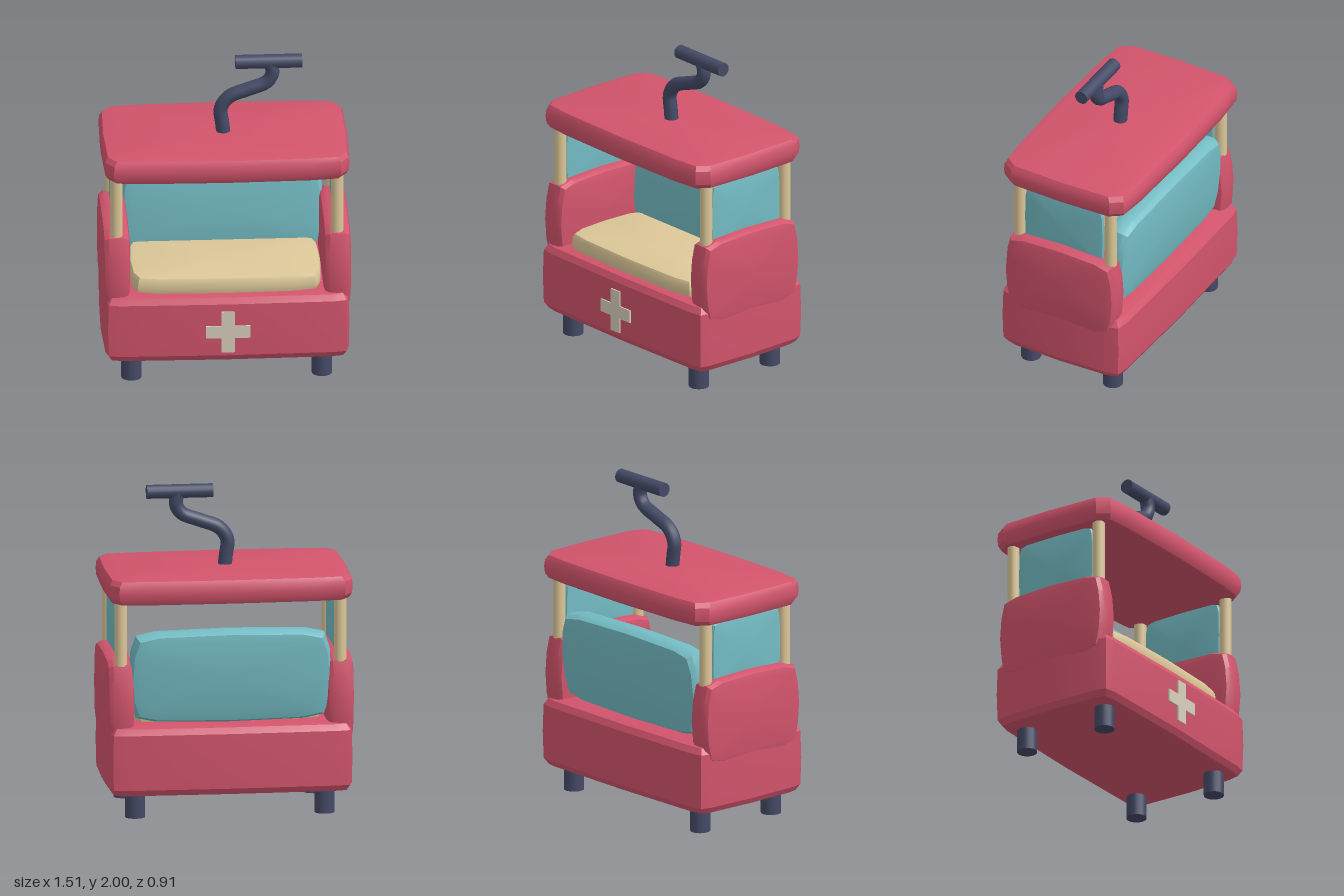
import * as THREE from 'three';
import { toCreasedNormals } from 'three/addons/utils/BufferGeometryUtils.js';

const colour = (name, hex) => {
  const m = new THREE.MeshStandardMaterial({ color: hex });
  m.name = name;
  return m;
};

// Soft block: a chamfered outline in x/z, stacked along y with rounded rims.
// cx, cz are the corner cuts, rim is the rounding of top and bottom edges.
function softBlock(w, h, d, cx, cz, rim, bulge = 0.01) {
  const outline = (inset) => {
    const a = w / 2 - inset, b = d / 2 - inset;
    const q = [[a, 0], [a - bulge, b - cz], [a - 0.27 * cx, b - 0.27 * cz], [a - cx, b - bulge], [0, b]];
    const back = q.slice(0, 4).reverse();
    return [
      ...q, ...back.map(([x, z]) => [-x, z]),
      ...q.slice(1).map(([x, z]) => [-x, -z]), ...back.slice(0, 3).map(([x, z]) => [x, -z]),
    ];
  };
  const layers = [
    [-h / 2, rim * 1.6], [-h / 2 + rim * 0.25, rim * 0.5], [-h / 2 + rim, 0.004],
    [0, 0], [h / 2 - rim, 0.004], [h / 2 - rim * 0.25, rim * 0.5], [h / 2, rim * 1.6],
  ];
  const pos = [], idx = [], n = 16;
  for (const [y, inset] of layers) for (const [x, z] of outline(inset)) pos.push(x, y, z);
  const last = (layers.length - 1) * n, low = layers.length * n, high = low + 1;
  pos.push(0, -h / 2, 0, 0, h / 2, 0);
  for (let i = 0; i < n; i++) {
    const j = (i + 1) % n;
    for (let k = 0; k < last; k += n) idx.push(k + i, k + n + i, k + j, k + j, k + n + i, k + n + j);
    idx.push(low, i, j, high, last + j, last + i);
  }
  const g = new THREE.BufferGeometry();
  g.setAttribute('position', new THREE.Float32BufferAttribute(pos, 3));
  g.setIndex(idx);
  return toCreasedNormals(g, 0.45);
}

export function createModel() {
  const model = new THREE.Group();
  model.name = 'cableCabin';
  const red = colour('red', 0xd2546c);
  const teal = colour('teal', 0x74bcc4);
  const cream = colour('cream', 0xdcc798);
  const navy = colour('navy', 0x444a66);
  const white = colour('offWhite', 0xd9d0bc);

  const add = (name, geometry, material, x, y, z) => {
    const mesh = new THREE.Mesh(geometry, material);
    mesh.name = name;
    mesh.position.set(x, y, z);
    model.add(mesh);
    return mesh;
  };

  // Body and roof
  add('base', softBlock(1.51, 0.44, 0.86, 0.1, 0.09, 0.05), red, 0, 0.36, -0.005);
  add('roof', softBlock(1.51, 0.165, 0.895, 0.23, 0.1, 0.04), red, 0, 1.417, -0.01);

  // Seat and leaning backrest
  add('seatCushion', softBlock(1.17, 0.13, 0.64, 0.16, 0.12, 0.025), cream, 0, 0.612, 0.04);
  const rest = softBlock(1.24, 0.16, 0.58, 0.16, 0.13, 0.04).rotateX(Math.PI / 2);
  add('backrest', rest, teal, 0, 0.872, -0.293).rotation.x = -0.07;

  // Sides: armrest, window, posts and feet
  const arm = softBlock(0.55, 0.165, 0.775, 0.13, 0.12, 0.035).rotateZ(-Math.PI / 2);
  const pane = softBlock(0.44, 0.03, 0.55, 0.06, 0.06, 0.008, 0.004).rotateZ(-Math.PI / 2);
  const post = new THREE.CylinderGeometry(0.038, 0.038, 0.43, 16);
  const foot = new THREE.CylinderGeometry(0.062, 0.062, 0.2, 16);
  for (const s of [-1, 1]) {
    const side = s > 0 ? 'left' : 'right';
    add(side + 'Armrest', arm, red, s * 0.672, 0.718, -0.003);
    add(side + 'Window', pane, teal, s * 0.672, 1.115, -0.004);
    for (const [end, postZ, footZ] of [['Front', 0.308, 0.285], ['Back', -0.325, -0.288]]) {
      add(side + end + 'Post', post, cream, s * 0.672, 1.165, postZ);
      add(side + end + 'Foot', foot, navy, s * 0.58, 0.1, footZ);
    }
  }

  // Cross badge on the front
  const t = 0.04, r = 0.135;
  const cross = new THREE.Shape(
    [[t, t], [t, r], [-t, r], [-t, t], [-r, t], [-r, -t], [-t, -t], [-t, -r], [t, -r], [t, -t], [r, -t], [r, t]]
      .map(([x, y]) => new THREE.Vector2(x, y)));
  add('crossBadge', new THREE.ExtrudeGeometry(cross, { depth: 0.009, bevelEnabled: false }), white, 0, 0.36, 0.446);

  // Bent hanger arm with its grip bar
  const path = new THREE.CatmullRomCurve3(
    [[0, 1.46], [-0.012, 1.56], [-0.02, 1.65], [0.03, 1.725], [0.15, 1.775], [0.26, 1.82], [0.295, 1.88], [0.28, 1.955]]
      .map(([x, y]) => new THREE.Vector3(x, y, 0)));
  add('hangerArm', new THREE.TubeGeometry(path, 28, 0.043, 12), navy, 0, 0, -0.005);
  const bar = new THREE.CylinderGeometry(0.043, 0.043, 0.405, 16).rotateZ(Math.PI / 2);
  add('gripBar', bar, navy, 0.272, 1.957, -0.005);

  return model;
}
